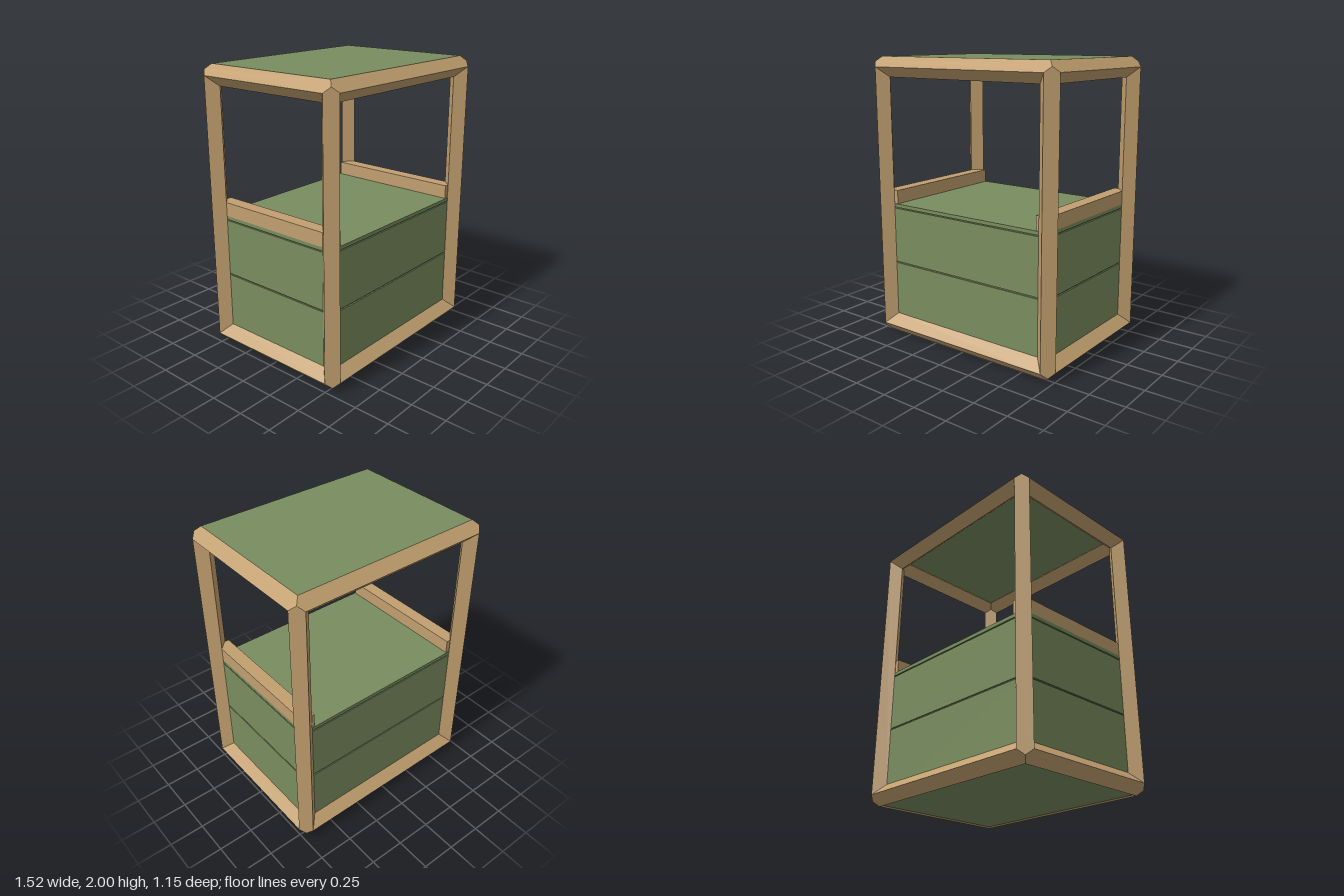
import * as THREE from 'three';
import { ConvexGeometry } from 'three/addons/geometries/ConvexGeometry.js';

const HALF = [0.69, 0.93, 0.507]; // half spans of the frame's centre lines
const R = 0.07;                   // half diagonal of the diamond bar section

// Diamond-section bar along one axis, with outer faces pointed to mitre at the corners
function barGeometry(axis, signB, signC) {
  const b = (axis + 1) % 3, c = (axis + 2) % 3;
  const points = [];
  const add = (pa, pb, pc) => {
    const p = new THREE.Vector3();
    p.setComponent(axis, pa);
    p.setComponent(b, signB * (HALF[b] + pb));
    p.setComponent(c, signC * (HALF[c] + pc));
    points.push(p);
  };
  for (const end of [-1, 1]) {
    for (const [pb, pc] of [[R, 0], [0, R], [-R, 0], [0, -R]]) add(end * HALF[axis], pb, pc);
    add(end * (HALF[axis] + R / 2), R / 2, R / 2);
  }
  return new ConvexGeometry(points);
}

export function createModel() {
  const model = new THREE.Group();
  model.name = 'cabinet';
  const wood = new THREE.MeshStandardMaterial({ color: 0xc19f6f });
  const green = new THREE.MeshStandardMaterial({ color: 0x798c5e });

  // Twelve frame bars
  const frame = new THREE.Group();
  frame.name = 'frame';
  frame.position.y = 1;
  const names = ['crossBar', 'post', 'sideBar'];
  for (let axis = 0; axis < 3; axis++) {
    for (const sb of [-1, 1]) for (const sc of [-1, 1]) {
      const bar = new THREE.Mesh(barGeometry(axis, sb, sc), wood);
      bar.name = names[axis];
      frame.add(bar);
    }
  }
  model.add(frame);

  // Panels and drawers, each from y0 to y1
  const slab = (name, y0, y1, inset = 0) => {
    const geometry = new THREE.BoxGeometry(2 * (HALF[0] - inset), y1 - y0, 2 * (HALF[2] - inset));
    const mesh = new THREE.Mesh(geometry, green);
    mesh.name = name;
    mesh.position.y = (y0 + y1) / 2;
    model.add(mesh);
  };
  slab('roofPanel', 1.95, 2);
  slab('lowerBox', 0.01, 0.53);
  slab('upperBox', 0.54, 0.937);
  slab('lid', 0.945, 0.97);
  slab('core', 0.5, 0.96, 0.01);

  // Square rails along both sides of the lid
  for (const side of [-1, 1]) {
    const rail = new THREE.Mesh(new THREE.BoxGeometry(0.095, 0.097, 1), wood);
    rail.name = side > 0 ? 'leftRail' : 'rightRail';
    rail.position.set(side * 0.6425, 1.0185, 0);
    model.add(rail);
  }
  return model;
}
